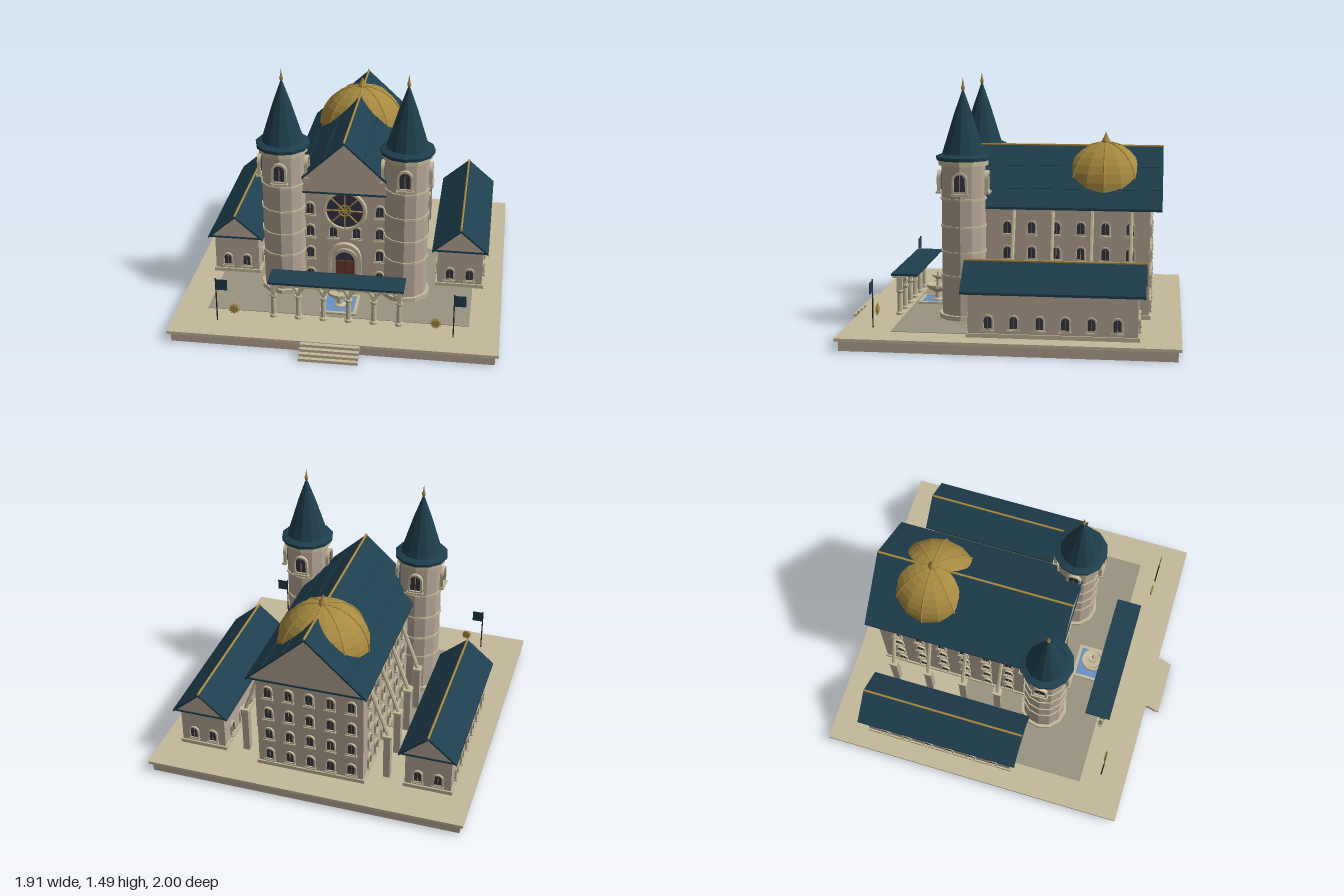
import * as THREE from 'three';

const mat = (color, side = THREE.FrontSide) => new THREE.MeshStandardMaterial({ color, side, flatShading: true });
const STONE = mat(0xb8a898), TRIM = mat(0xc4b99a), PAVING = mat(0x9a9480), ROOF = mat(0x1f3f4e, THREE.DoubleSide),
  GOLD = mat(0xa88a40), GLASS = mat(0x35344a), WATER = mat(0x6a90c0), WOOD = mat(0x6b3a2a), IRON = mat(0x2a2a2a);
const G = 0.075; // terrace level

function add(parent, name, geo, material, x = 0, y = 0, z = 0) {
  const m = new THREE.Mesh(geo, material);
  m.name = name;
  m.position.set(x, y, z);
  parent.add(m);
  return m;
}

// Box given by its limits
function box(parent, name, material, x0, x1, y0, y1, z0, z1) {
  return add(parent, name, new THREE.BoxGeometry(x1 - x0, y1 - y0, z1 - z0), material,
    (x0 + x1) / 2, (y0 + y1) / 2, (z0 + z1) / 2);
}

// Round bar between two points
function bar(parent, name, material, a, b, r, sides = 6) {
  const A = new THREE.Vector3(...a), B = new THREE.Vector3(...b), d = B.clone().sub(A);
  const m = add(parent, name, new THREE.CylinderGeometry(r, r, d.length(), sides), material);
  m.position.copy(A).add(B).multiplyScalar(0.5);
  m.quaternion.setFromUnitVectors(new THREE.Vector3(0, 1, 0), d.normalize());
  return m;
}

const lathe = (pts, sides) => new THREE.LatheGeometry(pts.map(p => new THREE.Vector2(...p)), sides);
const extrude = (shape, depth) => new THREE.ExtrudeGeometry(shape, { depth, bevelEnabled: false, curveSegments: 8 });

// Round-headed outline of width w and height h standing on y
function archOutline(w, h, y = 0, Type = THREE.Shape) {
  const s = new Type(), r = w / 2;
  s.moveTo(-r, y);
  s.lineTo(r, y);
  s.lineTo(r, y + h - r);
  s.absarc(0, y + h - r, r, 0, Math.PI, false);
  s.lineTo(-r, y);
  return s;
}
function archFrame(w, h, t, depth) {
  const s = archOutline(w, h);
  s.holes.push(archOutline(w - 2 * t, h - 2 * t, t, THREE.Path));
  return extrude(s, depth);
}

// Arched window, outward along its own +z, centred on its height
const frameGeo = archFrame(0.062, 0.088, 0.009, 0.014), paneGeo = extrude(archOutline(0.046, 0.074, 0.007), 0.004);
const mullionGeo = new THREE.BoxGeometry(0.003, 0.072, 0.004), sillGeo = new THREE.BoxGeometry(0.07, 0.008, 0.02);
function windowAt(parent, x, y, z, angle, scale = 1) {
  const g = new THREE.Group();
  g.name = 'window';
  add(g, 'windowFrame', frameGeo, TRIM, 0, -0.044, -0.002);
  add(g, 'windowPane', paneGeo, GLASS, 0, -0.044, 0);
  add(g, 'windowMullion', mullionGeo, GOLD, 0, -0.001, 0.005);
  add(g, 'windowSill', sillGeo, TRIM, 0, -0.046, 0.007);
  g.position.set(x, y, z);
  g.rotation.y = angle;
  g.scale.setScalar(scale);
  parent.add(g);
}

// Gabled roof: pale gable prism, dark eaves board, two slopes and a gilded ridge
function gableRoof(parent, x, half, eave, ridge, z0, z1, battens) {
  const g = new THREE.Group(), t = 0.014, len = z1 - z0;
  g.name = 'gableRoof';
  g.position.set(x, 0, z0);
  parent.add(g);
  const tri = new THREE.Shape([[-half + 0.01, eave], [half - 0.01, eave], [0, ridge - t]].map(p => new THREE.Vector2(...p)));
  add(g, 'gable', extrude(tri, len - 0.02), STONE, 0, 0, 0.01);
  box(g, 'eavesBoard', ROOF, -half + 0.005, half - 0.005, eave - 0.006, eave + 0.004, 0.004, len - 0.004);
  for (const s of [-1, 1]) {
    const slope = new THREE.Shape([[0, ridge], [s * half, eave], [s * half, eave - t], [0, ridge - t]].map(p => new THREE.Vector2(...p)));
    add(g, 'roofSlope', extrude(slope, len), ROOF);
    for (const b of battens) {
      const y = ridge - (ridge - eave) * b / half;
      bar(g, 'roofBatten', ROOF, [s * b, y, 0], [s * b, y, len], 0.004, 4);
    }
  }
  bar(g, 'ridgePole', GOLD, [0, ridge, 0], [0, ridge, len], 0.007);
}

function makeTower(x) {
  const g = new THREE.Group();
  g.name = 'tower';
  g.position.set(x, 0, 0.275);
  add(g, 'towerShaft', new THREE.CylinderGeometry(0.13, 0.13, 0.95, 12), STONE, 0, G + 0.475, 0);
  const rings = [[0.09, 0.03, 0.148], [0.335, 0.012, 0.137], [0.475, 0.012, 0.137], [0.625, 0.012, 0.137], [0.785, 0.012, 0.137], [0.995, 0.03, 0.147]];
  for (const [y, h, r] of rings) add(g, 'towerBand', new THREE.CylinderGeometry(r, r, h, 12), TRIM, 0, y, 0);
  for (let i = 0; i < 4; i++) {
    const a = i * Math.PI / 2;
    windowAt(g, 0.133 * Math.sin(a), 0.885, 0.133 * Math.cos(a), a, 1.45);
  }
  add(g, 'spireRoof', lathe([[0, 1.01], [0.16, 1.01], [0.162, 1.03], [0.125, 1.045], [0.1, 1.125], [0.055, 1.27], [0, 1.425]], 12), ROOF);
  add(g, 'spireFinial', lathe([[0, 1.4], [0.008, 1.41], [0.012, 1.428], [0.006, 1.442], [0, 1.485]], 8), GOLD);
  return g;
}

function makeAnnex(x) {
  const g = new THREE.Group();
  g.name = 'sideWing';
  g.position.x = x;
  box(g, 'wingWalls', STONE, -0.137, 0.137, G, 0.335, -0.76, 0.18);
  box(g, 'wingPlinth', TRIM, -0.147, 0.147, G, 0.098, -0.77, 0.19);
  gableRoof(g, 0, 0.17, 0.335, 0.482, -0.802, 0.222, []);
  for (const s of [-1, 1]) {
    for (let i = 0; i < 6; i++) windowAt(g, s * 0.137, 0.163, 0.067 - i * 0.143, s * Math.PI / 2);
    windowAt(g, s * 0.06, 0.163, 0.18, 0);
    windowAt(g, s * 0.06, 0.163, -0.76, Math.PI);
  }
  return g;
}

function makeHall() {
  const g = new THREE.Group();
  g.name = 'mainHall';
  box(g, 'hallWalls', STONE, -0.32, 0.32, G, 0.73, -0.81, 0.28);
  box(g, 'hallPlinth', TRIM, -0.33, 0.33, G, 0.098, -0.82, 0.29);
  gableRoof(g, 0, 0.355, 0.732, 1.062, -0.88, 0.328, [0.12, 0.25]);
  const rows = [0.16, 0.31, 0.458, 0.607];
  for (const y of rows) {
    for (const s of [-1, 1]) for (let i = 0; i < 6; i++) windowAt(g, s * 0.32, y, 0.024 - i * 0.144, s * Math.PI / 2);
    for (let i = -2; i <= 2; i++) windowAt(g, i * 0.125, y, -0.81, Math.PI);
    for (const s of [-1, 1]) windowAt(g, s * 0.21, y, 0.28, 0);
  }
  for (const s of [-1, 1]) windowAt(g, s * 0.07, 0.458, 0.28, 0);

  // Rose window
  const rose = new THREE.Group();
  rose.name = 'roseWindow';
  rose.position.set(0, 0.607, 0.285);
  g.add(rose);
  add(rose, 'roseGlass', new THREE.CylinderGeometry(0.12, 0.12, 0.016, 32), GLASS).rotation.x = Math.PI / 2;
  add(rose, 'roseRim', new THREE.TorusGeometry(0.122, 0.014, 6, 32), TRIM, 0, 0, 0.005);
  add(rose, 'roseInnerRing', new THREE.TorusGeometry(0.035, 0.005, 6, 16), GOLD, 0, 0, 0.01);
  for (let i = 0; i < 4; i++) {
    const c = 0.118 * Math.cos(i * Math.PI / 4), s = 0.118 * Math.sin(i * Math.PI / 4);
    bar(rose, 'roseSpoke', GOLD, [-c, -s, 0.01], [c, s, 0.01], 0.005);
  }

  // Portal with stepped arches
  add(g, 'portalOuterArch', archFrame(0.2, 0.315, 0.022, 0.035), TRIM, 0, G, 0.275);
  add(g, 'portalInnerArch', archFrame(0.158, 0.272, 0.02, 0.022), STONE, 0, G, 0.277);
  add(g, 'portalGlass', extrude(archOutline(0.13, 0.25), 0.008), GLASS, 0, G, 0.277);
  for (const s of [-1, 1]) box(g, 'doorLeaf', WOOD, s * 0.029 - 0.027, s * 0.029 + 0.027, G, 0.265, 0.28, 0.295);

  // Dome with ribs, breaking through the roof
  const dome = new THREE.Group();
  dome.name = 'dome';
  dome.position.set(0, 0.812, -0.535);
  g.add(dome);
  add(dome, 'domeShell', new THREE.SphereGeometry(0.27, 16, 8, 0, Math.PI * 2, 0, Math.PI / 2), GOLD);
  for (let i = 0; i < 4; i++)
    add(dome, 'domeRib', new THREE.TorusGeometry(0.271, 0.005, 5, 20, Math.PI), GOLD).rotation.y = i * Math.PI / 4;
  add(dome, 'domeFinial', lathe([[0, 0.26], [0.03, 0.262], [0.026, 0.28], [0.012, 0.305], [0, 0.335]], 8), GOLD);

  // Flying buttresses
  for (const s of [-1, 1]) for (let i = 0; i < 4; i++) {
    const z = -0.015 - i * 0.229;
    box(g, 'buttressPier', STONE, s * 0.435 - 0.02, s * 0.435 + 0.02, G, 0.36, z - 0.022, z + 0.022);
    box(g, 'buttressCap', TRIM, s * 0.435 - 0.025, s * 0.435 + 0.025, 0.36, 0.375, z - 0.027, z + 0.027);
    bar(g, 'buttressArm', TRIM, [s * 0.44, 0.36, z], [s * 0.315, 0.71, z], 0.012);
  }
  return g;
}

function makePorch() {
  const g = new THREE.Group(), z = 0.662, pitch = 0.148;
  g.name = 'porch';
  box(g, 'porchRoof', ROOF, -0.397, 0.397, 0.313, 0.326, 0.55, 0.708);
  box(g, 'porchBeam', TRIM, -0.385, 0.385, 0.299, 0.313, z - 0.04, z + 0.04);
  const column = lathe([[0, 0], [0.024, 0], [0.024, 0.014], [0.016, 0.02], [0.014, 0.13], [0.022, 0.14], [0.022, 0.15], [0, 0.15]], 10);
  for (let i = 0; i < 6; i++) {
    const x = (i - 2.5) * pitch;
    add(g, 'porchColumn', column, TRIM, x, G, z);
    if (i < 5) add(g, 'porchArch', new THREE.TorusGeometry(pitch / 2, 0.013, 6, 14, Math.PI), TRIM, x + pitch / 2, G + 0.145, z);
  }
  for (const s of [-1, 1]) box(g, 'porchEndPost', TRIM, s * 0.37 - 0.012, s * 0.37 + 0.012, 0.22, 0.3, z - 0.017, z + 0.017);
  return g;
}

function makeFountain() {
  const g = new THREE.Group();
  g.name = 'fountain';
  g.position.set(0, G, 0.5);
  box(g, 'poolWater', WATER, -0.09, 0.09, 0, 0.01, -0.09, 0.09);
  for (const s of [-1, 1]) {
    box(g, 'poolCurb', TRIM, -0.108, 0.108, 0, 0.016, s * 0.099 - 0.009, s * 0.099 + 0.009);
    box(g, 'poolCurb', TRIM, s * 0.099 - 0.009, s * 0.099 + 0.009, 0, 0.016, -0.09, 0.09);
  }
  add(g, 'fountainBasins', lathe([[0, 0], [0.035, 0], [0.035, 0.015], [0.02, 0.025], [0.018, 0.06], [0.05, 0.075], [0.072, 0.092], [0.072, 0.108],
    [0.06, 0.108], [0.05, 0.1], [0.014, 0.1], [0.01, 0.14], [0.036, 0.158], [0.036, 0.168], [0.01, 0.163], [0.007, 0.185], [0, 0.197]], 16), TRIM);
  return g;
}

// Gilded sunburst emblem
function makeSunburst(x) {
  const g = new THREE.Group();
  g.name = 'sunburst';
  g.position.set(x, 0.157, 0.747);
  add(g, 'sunDisc', new THREE.CylinderGeometry(0.024, 0.024, 0.014, 16), GOLD).rotation.x = Math.PI / 2;
  for (let i = 0; i < 12; i++) {
    const a = i * Math.PI / 6;
    const ray = add(g, 'sunRay', new THREE.ConeGeometry(0.006, 0.018, 4), GOLD, 0.03 * Math.cos(a), 0.03 * Math.sin(a), 0);
    ray.rotation.z = a - Math.PI / 2;
  }
  return g;
}

export function createModel() {
  const root = new THREE.Group();
  root.name = 'greatHall';
  box(root, 'terraceBase', STONE, -0.935, 0.935, 0, 0.06, -0.98, 0.89);
  box(root, 'terraceSlab', TRIM, -0.955, 0.955, 0.058, G, -1, 0.91);
  box(root, 'courtyard', PAVING, -0.775, 0.775, G, G + 0.003, -0.265, 0.63);
  for (let i = 0; i < 4; i++)
    box(root, 'step', TRIM, -0.17, 0.17, 0.054 - i * 0.018, 0.071 - i * 0.018, 0.895 + i * 0.0217, 0.935 + i * 0.0217);
  root.add(makeHall(), makePorch(), makeFountain());
  for (const s of [-1, 1]) {
    root.add(makeTower(s * 0.367), makeAnnex(s * 0.693), makeSunburst(s * 0.588));
    bar(root, 'flagPole', IRON, [s * 0.69, G, 0.75], [s * 0.69, 0.355, 0.75], 0.004);
    box(root, 'flag', ROOF, s * 0.69, s * 0.69 + 0.067, 0.28, 0.348, 0.748, 0.752);
  }
  return root;
}
